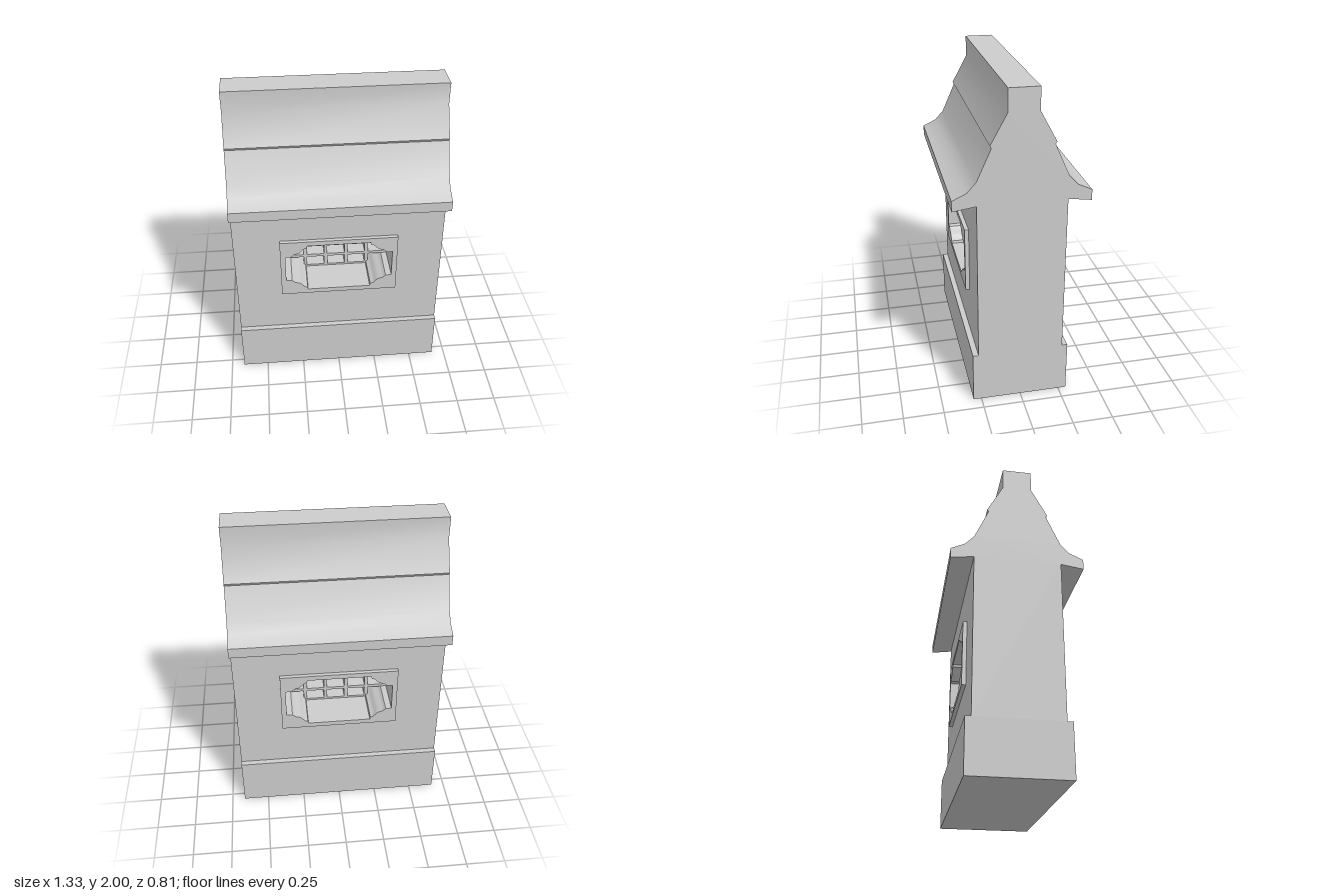
import * as THREE from 'three';
import { toCreasedNormals } from 'three/addons/utils/BufferGeometryUtils.js';

const stone = new THREE.MeshStandardMaterial({ color: 0xcccccc });
stone.name = 'lightGreyStone';

const WIDTH = 1.33, WALL_Z = 0.265, MID_Y = 0.84;

function add(group, name, geometry, x = 0, y = 0, z = 0) {
  const mesh = new THREE.Mesh(geometry, stone);
  mesh.name = name;
  mesh.position.set(x, y, z);
  group.add(mesh);
  return mesh;
}

// Window outline: a rectangle with four scalloped corners, relative to MID_Y
function windowPath() {
  const corner = [[0.342, 0.095], [0.305, 0.097], [0.295, 0.106], [0.283, 0.116], [0.255, 0.123],
    [0.24, 0.137], [0.225, 0.155], [0.206, 0.161], [0.202, 0.178]];
  const back = [...corner].reverse();
  const pts = [
    ...corner,
    ...back.map(([x, y]) => [-x, y]),
    ...corner.map(([x, y]) => [-x, -y]),
    ...back.map(([x, y]) => [x, -y]),
  ];
  return new THREE.Path(pts.map(([x, y]) => new THREE.Vector2(x, MID_Y + y)));
}

// Upright slab pierced by the window
function piercedSlab(x, y0, y1, depth) {
  const shape = new THREE.Shape([[-x, y0], [x, y0], [x, y1], [-x, y1]].map(p => new THREE.Vector2(...p)));
  shape.holes.push(windowPath());
  return toCreasedNormals(new THREE.ExtrudeGeometry(shape, { depth, bevelEnabled: false }), 0.6);
}

// Symmetrical roof section swept along x
function roofGeometry() {
  const half = [[WALL_Z, 1.335], [0.405, 1.315], [0.405, 1.38], [0.32, 1.42], [0.265, 1.48],
    [0.18, 1.67], [0.188, 1.685], [0.09, 1.865], [0.09, 2]];
  const pts = [...half, ...[...half].reverse().map(([z, y]) => [-z, y])];
  const shape = new THREE.Shape(pts.map(p => new THREE.Vector2(...p)));
  const geometry = new THREE.ExtrudeGeometry(shape, { depth: WIDTH, bevelEnabled: false });
  geometry.translate(0, 0, -WIDTH / 2).rotateY(Math.PI / 2);
  return toCreasedNormals(geometry, 0.57);
}

export function createModel() {
  const model = new THREE.Group();
  model.name = 'piercedWall';

  add(model, 'plinth', new THREE.BoxGeometry(WIDTH, 0.33, 0.6), 0, 0.165, 0);
  add(model, 'wall', piercedSlab(WIDTH / 2, 0.33, 1.335, WALL_Z * 2), 0, 0, -WALL_Z);
  add(model, 'roof', roofGeometry());

  // Raised window surrounds on both faces
  const surround = piercedSlab(0.374, 0.63, 1.05, 0.025);
  add(model, 'frontSurround', surround, 0, 0, WALL_Z);
  add(model, 'backSurround', surround, 0, 0, -WALL_Z - 0.025);

  // Lattice set in the middle of the opening
  const lattice = new THREE.Group();
  lattice.name = 'lattice';
  const depth = 0.11;
  for (const x of [-0.206, -0.069, 0.069, 0.206])
    add(lattice, 'verticalBar', new THREE.BoxGeometry(0.022, 0.37, depth), x, MID_Y, 0);
  for (const y of [-0.088, 0, 0.088])
    add(lattice, 'horizontalBar', new THREE.BoxGeometry(0.69, 0.02, depth), 0, MID_Y + y, 0);
  for (const s of [-1, 1]) {
    add(lattice, 'sideRail', new THREE.BoxGeometry(0.015, 0.19, depth), s * 0.341, MID_Y, 0);
    add(lattice, 'edgeRail', new THREE.BoxGeometry(0.41, 0.022, depth), 0, MID_Y + s * 0.176, 0);
  }
  model.add(lattice);

  return model;
}
